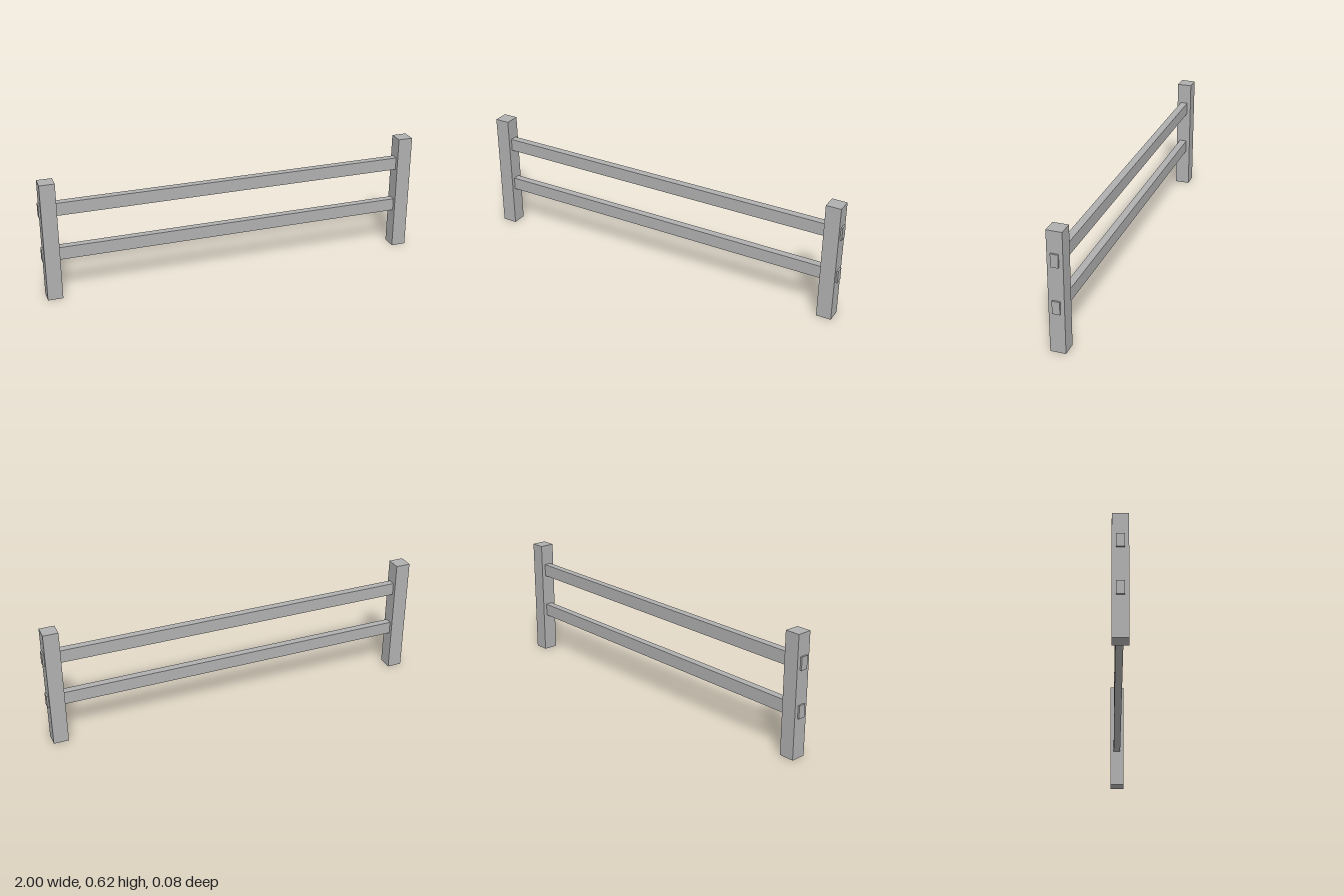
import * as THREE from 'three';

export function createModel() {
  const model = new THREE.Group();
  model.name = 'railFence';
  const grey = new THREE.MeshStandardMaterial({ color: 0xb0b0b0 });
  grey.name = 'grey';

  const addBeam = (name, w, h, d, x, y) => {
    const beam = new THREE.Mesh(new THREE.BoxGeometry(w, h, d), grey);
    beam.name = name;
    beam.position.set(x, y, 0);
    model.add(beam);
  };

  // Square end posts standing on the ground
  const postHeight = 0.62, postWidth = 0.077;
  for (const [name, side] of [['leftPost', 1], ['rightPost', -1]]) {
    addBeam(name, postWidth, postHeight, postWidth, side * 0.953, postHeight / 2);
  }

  // Rails pass through the posts and stick out slightly at each end
  for (const [name, y] of [['lowerRail', 0.239], ['upperRail', 0.477]]) {
    addBeam(name, 2, 0.066, 0.038, 0, y);
  }

  return model;
}
